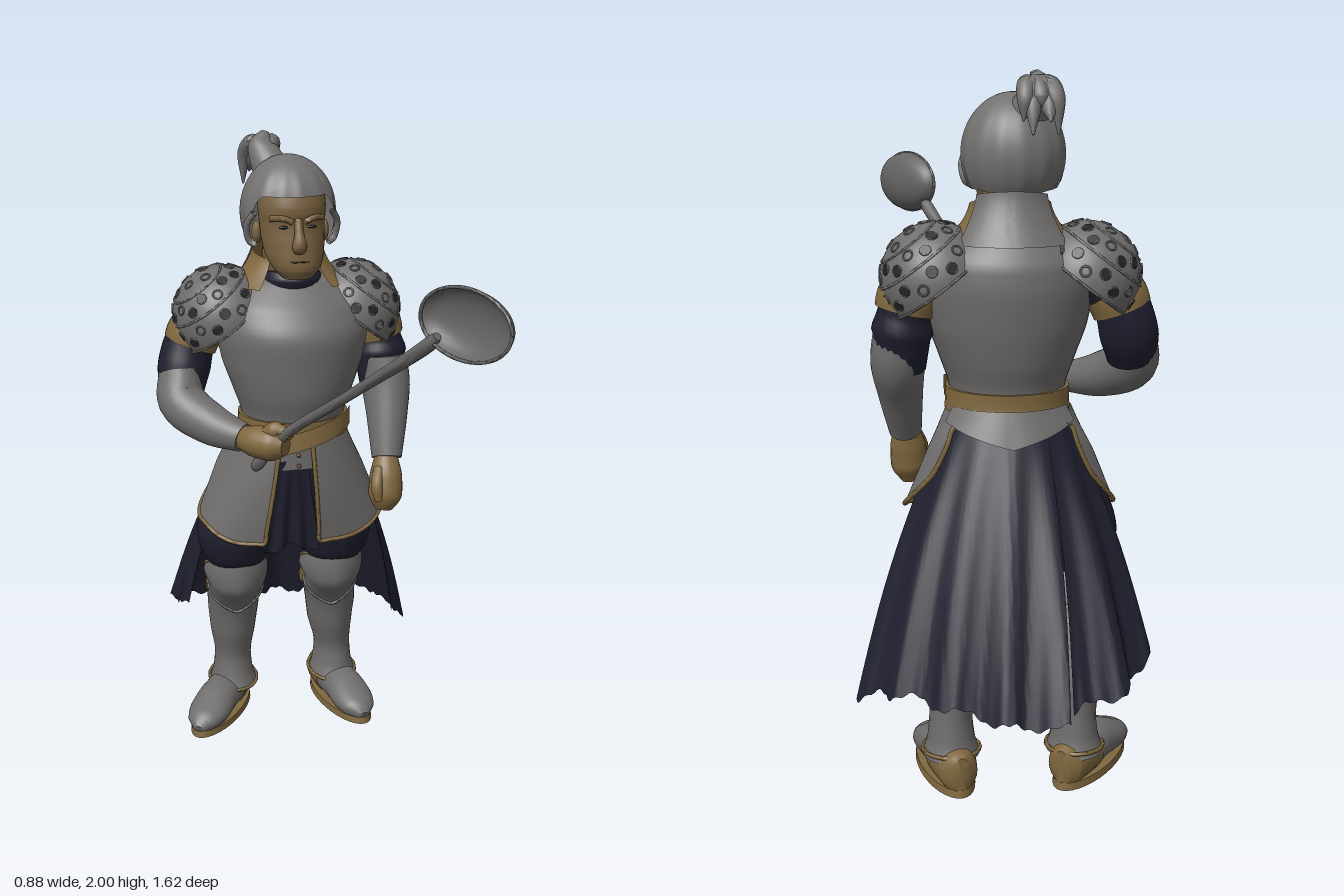
import * as THREE from 'three';
import { toCreasedNormals } from 'three/addons/utils/BufferGeometryUtils.js';

const V = (x, y, z) => new THREE.Vector3(x, y, z);
const mat = (name, color) => Object.assign(new THREE.MeshStandardMaterial({ color, side: THREE.DoubleSide }), { name });
const { sin, cos, abs, PI, min, max } = Math;
const smooth = THREE.MathUtils.smoothstep;

export function createModel() {
  const steel = mat('steel', 0x706e6d), leather = mat('leather', 0x80683f), skin = mat('skin', 0x786140);
  const cloth = mat('navy cloth', 0x1f1f2f), hair = mat('grey hair', 0x737170);
  const spoonMetal = mat('spoon metal', 0x666564), dark = mat('dark', 0x252429);
  const model = new THREE.Group();

  function add(name, geo, material, parent = model) {
    const m = new THREE.Mesh(toCreasedNormals(geo, 0.9), material);
    m.name = name;
    parent.add(m);
    return m;
  }

  // closed body through sections [x, y, z, rx, rz]; level keeps rings horizontal (list bottom to top)
  function sweep(secs, level = false, n = 24, steps = 5) {
    const path = new THREE.CatmullRomCurve3(secs.map(s => V(s[0], s[1], s[2])));
    const size = new THREE.CatmullRomCurve3(secs.map(s => V(s[3], s[4] ?? s[3], 0)));
    const rows = (secs.length - 1) * steps, pos = [], idx = [];
    const span = V(...secs.at(-1).slice(0, 3)).sub(V(...secs[0].slice(0, 3))).normalize();
    const ref = abs(span.z) > 0.8 ? V(0, 1, 0) : V(0, 0, 1);
    for (let i = 0; i <= rows; i++) {
      const c = path.getPoint(i / rows), r = size.getPoint(i / rows);
      const T = level ? V(0, 1, 0) : path.getTangent(i / rows);
      const u = level ? V(1, 0, 0) : ref.clone().cross(T).normalize();
      const v = T.clone().cross(u);
      for (let j = 0; j < n; j++) {
        const a = j / n * 2 * PI;
        pos.push(...c.clone().addScaledVector(u, r.x * cos(a)).addScaledVector(v, r.y * sin(a)).toArray());
      }
    }
    for (let i = 0; i < rows; i++) for (let j = 0; j < n; j++) {
      const a = i * n + j, b = i * n + (j + 1) % n;
      idx.push(a, b, a + n, b, b + n, a + n);
    }
    const k = pos.length / 3, last = rows * n;
    pos.push(...secs[0].slice(0, 3), ...secs.at(-1).slice(0, 3));
    for (let j = 0; j < n; j++) idx.push(k, (j + 1) % n, j, k + 1, last + j, last + (j + 1) % n);
    const g = new THREE.BufferGeometry();
    g.setAttribute('position', new THREE.Float32BufferAttribute(pos, 3));
    g.setIndex(idx);
    return g;
  }

  // open surface from a rule f(u, v) -> [x, y, z]
  function sheet(f, nu = 32, nv = 12) {
    const g = new THREE.PlaneGeometry(1, 1, nu, nv), p = g.attributes.position;
    for (let i = 0; i < p.count; i++) p.setXYZ(i, ...f(p.getX(i) + 0.5, 0.5 - p.getY(i)));
    g.deleteAttribute('uv');
    return g;
  }
  const tube = (pts, r, n = 40) => new THREE.TubeGeometry(new THREE.CatmullRomCurve3(pts.map(p => V(...p))), n, r, 8);
  const ball = (x, y, z, rx, ry, rz) => new THREE.SphereGeometry(1, 20, 14).scale(rx, ry, rz).translate(x, y, z);

  // torso, belts and hips
  add('breastplate', sweep([[-.005, 1.03, -.31, .163, .16], [-.005, 1.12, -.305, .165, .162], [-.005, 1.2, -.305, .19, .187],
    [-.005, 1.3, -.31, .225, .205], [-.005, 1.4, -.315, .243, .214], [-.005, 1.48, -.335, .235, .19],
    [-.005, 1.55, -.35, .165, .135], [-.005, 1.575, -.35, .1, .1]], true, 40), steel);
  add('belt', sweep([[-.005, 1.06, -.308, .179, .173], [-.005, 1.09, -.307, .177, .17], [-.005, 1.125, -.307, .176, .171]], true, 40), leather);
  add('slantedBelt', sheet((u, v) => {
    const a = (u - .5) * 2.6;
    return [-.005 + .185 * sin(a), 1.1 + .045 * sin(a) - .06 * v, -.307 + (.177 + .005 * v) * cos(a)];
  }, 32, 4), leather);
  add('frontFauld', sheet((u, v) => {
    const a = (u - 0.5) * 1.4;
    return [-.01 + (.178 + .02 * v) * sin(a), 1.07 - .1 * v, -.31 + (.171 - .004 * v) * cos(a)];
  }), steel);
  add('backFauld', sheet((u, v) => {
    const a = PI + (u - 0.5) * 2.2, drop = .04 + .06 * (1 - abs(u - 0.5) * 2);
    return [-.005 + (.178 + .025 * v) * sin(a), 1.08 - drop * v, -.31 + (.172 + .035 * v) * cos(a)];
  }), steel);
  add('hips', sweep([[-.02, .74, -.35, .2, .13], [-.015, .85, -.34, .215, .145], [-.01, .97, -.32, .18, .15], [-.005, 1.05, -.31, .16, .155]], true), cloth);
  for (let i = 0; i < 2; i++) add('fauldStud', ball(-.02, 1.02 - i * .035, -.138, .007, .007, .006), leather);

  // hip plates with leather edging
  for (const s of [-1, 1]) {
    const a0 = s > 0 ? .19 : .38, a1 = 2.35;
    const plate = (u, v) => {
      const a = a0 + (a1 - a0) * u, rise = max(0, (u - .52) / .48);
      const low = .72 + .05 * smooth(u, 0.1, .55) + .21 * (1 - Math.sqrt(1 - rise * rise));
      const y = 1.06 + (low - 1.06) * v, k = (1.06 - y) / .34;
      const rear = .03 * smooth(a, 1.4, 2.2) * smooth(v, 0, .5);
      return [-.01 + s * ((.18 + .14 * k) * sin(a) + rear), y, -.31 + (.175 - .015 * k + .012 * sin(PI * k)) * cos(a)];
    };
    add('hipPlate', sheet(plate, 44, 14), steel);
    const rim = [];
    for (let i = 0; i <= 8; i++) rim.push(plate(0, i / 8));
    for (let i = 1; i <= 24; i++) rim.push(plate(i / 24, 1));
    for (let i = 7; i >= 3; i--) rim.push(plate(1, i / 8));
    add('hipPlateEdge', tube(rim, .007, 90), leather);
  }

  // cloth: front flap and split pleated cape
  add('frontFlap', sheet((u, v) => [-.04 + (u - .5) * (.1 + .09 * v), 1.0 - (.31 + .015 * sin(u * 9)) * v,
    -.147 - .04 * v + .012 * cos(u * 19) * v], 30, 10), cloth);
  function capePanel(edge, b0, b1, pleats) {
    const hem = new THREE.CatmullRomCurve3(edge.map(p => V(...p)));
    add('capePanel', sheet((u, v) => {
      const h = hem.getPoint(u), b = b0 + (b1 - b0) * u;
      const x = -.005 + .168 * sin(b), z = -.31 - .16 * cos(b);
      const w = sin(u * pleats * 2 * PI + .8 * v) * .013 * v, bulge = .025 * sin(PI * v);
      const jag = (.012 * sin(u * pleats * 7 + 1) + .005 * sin(u * pleats * 23)) * v ** 4;
      return [x + (h.x - x) * v + (w + bulge) * sin(b), 1.05 + (h.y - 1.05) * v + jag, z + (h.z - z) * v - (w + bulge * .4) * cos(b)];
    }, 90, 16), cloth);
  }
  capePanel([[-.34, .43, -.38], [-.39, .41, -.52], [-.34, .36, -.62], [-.28, .34, -.71], [-.145, .3, -.74]], -1.75, -.6, 3);
  capePanel([[-.13, .29, -.8], [0, .28, -.78], [.12, .3, -.74], [.25, .32, -.68], [.35, .32, -.61], [.425, .27, -.5], [.35, .36, -.38]], -.62, 1.75, 5);

  // legs and boots
  for (const [kx, ax, fx, yaw] of [[.135, .17, .185, .2], [-.19, -.185, -.24, -.55]]) {
    add('trouserLeg', sweep([[kx, .58, -.36, .08, .09], [kx * 1.02, .63, -.35, .108, .128], [kx * 1.02, .72, -.34, .126, .145], [kx * .85, .86, -.33, .11, .13]], true), cloth);
    add('greave', sweep([[ax, .09, -.49, .082, .102], [ax, .135, -.49, .068, .088], [ax, .2, -.49, .062, .082], [(ax + ax + kx) / 3, .3, -.475, .076, .097],
      [(ax + kx) / 2, .4, -.45, .086, .1], [kx, .5, -.41, .09, .105], [kx, .58, -.37, .09, .115], [kx, .63, -.355, .075, .1]], true), steel);
    const knee = (u, v) => {
      const w = u * 2 - 1, a = w * 1.6, y0 = .64 - .05 * w * w, y1 = .41 + .1 * abs(w) ** 1.3, y = y0 + (y1 - y0) * v;
      const r = .85 + .15 * sin(PI * min(1, v + .2)), ridge = .022 * (1 - abs(w)) * (1 - v * .5);
      const back = .085 * (1 - smooth(y, .4, .53));
      return [kx + .107 * sin(a) * r, y, -.365 - back + (.115 * r + ridge) * cos(a)];
    };
    add('kneeGuard', sheet(knee, 30, 14), steel);
    for (const v of [0, 1]) add('kneeGuardEdge', tube(Array.from({ length: 13 }, (_, i) => knee(i / 12, v)), .006), v ? steel : leather);
    add('kneeStrap', sweep([[kx, .475, -.422, .094, .108], [kx, .5, -.41, .095, .109], [kx, .525, -.4, .094, .11]], true), leather);
    add('ankleEdge', tube(Array.from({ length: 13 }, (_, i) => [ax + .082 * cos(i * PI / 6), .1 - .01 * sin(i * PI / 6), -.49 + .102 * sin(i * PI / 6)]), .006), leather);
    const boot = new THREE.Group();
    boot.name = 'boot';
    boot.position.set(fx, 0, -.42);
    boot.rotation.y = yaw;
    model.add(boot);
    add('toeCap', sweep([[0, .068, -.08, .066, .062], [0, .068, .03, .068, .06], [0, .055, .1, .071, .049], [0, .042, .16, .056, .036], [0, .026, .197, .018, .018]]), steel, boot);
    add('heelCup', sweep([[0, .065, -.195, .025, .055], [0, .066, -.17, .052, .064], [0, .068, -.11, .063, .066], [0, .066, -.05, .068, .064]]), leather, boot);
    add('sole', new THREE.CylinderGeometry(1, 1.02, .022, 32).scale(.073, 1, .198).translate(0, .011, .002), leather, boot);
  }

  // arms
  const arms = [
    { upper: [[.23, 1.5, -.35, .085], [.28, 1.36, -.35, .08], [.292, 1.27, -.34, .08], [.295, 1.18, -.32, .07]], strap: [[.272, 1.395, -.35, .086], [.278, 1.37, -.35, .087], [.284, 1.345, -.35, .085]],
      fore: [[.302, 1.28, -.325, .072, .09], [.305, 1.2, -.31, .077, .094], [.298, 1.1, -.262, .066, .075], [.284, .97, -.205, .048, .054]],
      hand: [[.282, .98, -.205, .036], [.277, .92, -.185, .052], [.272, .86, -.172, .055], [.266, .81, -.17, .03]],
      thumb: [[.25, .95, -.17, .018], [.235, .9, -.14, .02], [.24, .85, -.13, .012]] },
    { upper: [[-.23, 1.5, -.35, .085], [-.32, 1.36, -.36, .08], [-.345, 1.28, -.35, .084], [-.36, 1.2, -.32, .07]], strap: [[-.295, 1.4, -.355, .086], [-.312, 1.375, -.358, .087], [-.324, 1.345, -.358, .085]],
      fore: [[-.362, 1.255, -.33, .068, .08], [-.365, 1.18, -.29, .075, .08], [-.29, 1.125, -.2, .066], [-.2, 1.1, -.11, .045]],
      hand: [[-.205, 1.1, -.115, .036], [-.165, 1.1, -.065, .05], [-.125, 1.1, -.03, .052], [-.09, 1.1, 0, .03]],
      thumb: [[-.15, 1.13, -.04, .02], [-.105, 1.15, -.01, .02], [-.08, 1.14, .03, .012]] }];
  for (const arm of arms) {
    add('sleeve', sweep(arm.upper), cloth);
    add('armStrap', sweep(arm.strap), leather);
    add('vambrace', sweep(arm.fore), steel);
    add('hand', sweep(arm.hand), leather);
    add('thumb', sweep(arm.thumb, false, 10), leather);
  }

  // layered shoulder guards flaring from collar to arm, with rivets, rings and dark openings
  for (const s of [-1, 1]) {
    const guard = new THREE.Group();
    guard.name = 'shoulderGuard';
    guard.position.set(s > 0 ? .195 : -.22, 1.435, -.35);
    guard.rotation.z = -s * .65;
    model.add(guard);
    const R = V(.148, .16, .158);
    const at = (th, ph, k) => V(sin(th) * cos(ph), cos(th), sin(th) * sin(ph)).multiply(R).multiplyScalar(k);
    [[0.01, .66, .98], [.58, 1.12, 1.01], [1.04, 1.66, 1.04]].forEach(([t0, t1, k], row) => {
      add('shoulderLame', sheet((u, v) => at(t0 + (t1 - t0) * v, u * 2 * PI, k + .03 * v).toArray(), 40, 8), steel, guard);
      add('shoulderLameEdge', tube(Array.from({ length: 25 }, (_, i) => at(t1, i / 12 * PI, k + .03).toArray()), .004, 60), steel, guard);
      const count = [6, 16, 20][row];
      for (let i = 0; i < count; i++) {
        const t = .45 + .25 * (i % 2), p = at(t0 + (t1 - t0) * t, (i + row * .4) / count * 2 * PI, k + .03 * t + .004);
        const q = new THREE.Quaternion().setFromUnitVectors(V(0, 0, 1), p.clone().divide(R).divide(R).normalize());
        if (row && i % 3) add('opening', new THREE.CylinderGeometry(.014, .014, .006, 12).rotateX(PI / 2).scale(1.2, .9, 1).applyQuaternion(q).translate(p.x, p.y, p.z), dark, guard);
        add('rivetRing', new THREE.TorusGeometry(.014, .003, 6, 14).applyQuaternion(q).translate(p.x, p.y, p.z), steel, guard);
      }
    });
  }

  // neck and collar: leather at the sides, steel behind
  add('neck', sweep([[-.01, 1.5, -.35, .09], [-.015, 1.6, -.315, .085], [-.02, 1.7, -.265, .08]], true), skin);
  add('neckCloth', sweep([[-.01, 1.53, -.32, .105, .115], [-.01, 1.565, -.3, .095, .105], [-.01, 1.585, -.3, .085, .09]], true), cloth);
  const collar = (from, to, grow, lift) => sheet((u, v) => {
    const a = PI + from + (to - from) * u, back = .5 - .5 * cos(a), r = .103 + grow + .06 * (1 - v) ** 1.5;
    return [-.01 + r * 1.1 * sin(a), 1.535 + (.08 + .05 * back + lift) * v, -.34 + r * cos(a)];
  });
  add('collar', collar(-2.45, 2.45, 0, 0), leather);
  add('collarBack', collar(-.95, .95, .006, .015), steel);

  // head
  add('face', sweep([[-.015, 1.58, -.175, .045, .042], [-.015, 1.61, -.185, .073, .068], [-.018, 1.65, -.205, .09, .086], [-.02, 1.7, -.218, .098, .093],
    [-.022, 1.745, -.222, .1, .092], [-.022, 1.79, -.222, .104, .1], [-.022, 1.86, -.24, .1, .1]], true, 28), skin);
  add('nose', sweep([[-.02, 1.765, -.135, .012, .014], [-.02, 1.72, -.122, .015, .017], [-.02, 1.685, -.115, .023, .019], [-.02, 1.665, -.124, .016, .01]], false, 14), skin);
  add('mouth', ball(-.018, 1.637, -.122, .03, .003, .005), dark);
  for (const s of [-1, 1]) {
    add('eye', ball(-.021 + s * .042, 1.74, -.138, .016, .005, .005), dark);
    add('brow', tube([[-.021 + s * .018, 1.757, -.122], [-.021 + s * .045, 1.768, -.126], [-.021 + s * .08, 1.765, -.155]], .009, 12), skin);
    add('ear', ball(-.021 + s * .105, 1.71, -.25, .015, .035, .022), skin);
    add('sideCurl', tube([[-.025 + s * .12, 1.78, -.18], [-.025 + s * .14, 1.74, -.2], [-.025 + s * .13, 1.69, -.21], [-.025 + s * .112, 1.68, -.2]], .01, 20), hair);
  }
  add('hair', sheet((u, v) => {
    const a = u * 2 * PI, off = abs(a > PI ? a - 2 * PI : a);
    const th = .01 + (1.2 + .95 * smooth(off, .75, 1.5) + .1 * smooth(off, 2, 3)) * v, k = 1 + .014 * sin(a * 14) * v;
    return [-.025 + .146 * k * sin(th) * sin(a), 1.77 + .17 * cos(th), -.265 + .15 * k * sin(th) * cos(a)];
  }, 84, 20), hair);

  // topknot with loose strands
  add('topknot', sweep([[-.055, 1.87, -.32, .06], [-.075, 1.915, -.345, .052], [-.085, 1.955, -.365, .042, .038], [-.072, 1.995, -.375, .012, .01]]), hair);
  for (let i = 0; i < 5; i++) {
    const d = (i - 2) * .014;
    add('topknotStrand', sweep([[-.075, 1.93, -.35, .024], [-.08 + d, 1.96, -.385, .028], [-.085 + d * 1.5, 1.925 - (i % 2) * .02, -.425, .024], [-.085 + d * 1.7, 1.83 + (i % 3) * .035, -.435 - (i % 2) * .025, .003]], false, 10), hair);
  }

  // long spoon: shaft and an oval bowl facing forward and inward
  add('spoonShaft', sweep([[-.172, 1.01, -.07, .012], [-.165, 1.03, -.06, .02], [-.1, 1.13, 0, .016], [.04, 1.33, .27, .015], [.185, 1.54, .55, .02], [.2, 1.57, .58, .012]], false, 14, 8), spoonMetal);
  const along = V(.5, 0, .866), out = V(.866, 0, -.5), mid = V(.245, 1.62, .67);
  const bowl = (r, depth) => sheet((u, v) => {
    const a = u * 2 * PI;
    return mid.clone().addScaledVector(along, .16 * v * r * cos(a)).addScaledVector(V(0, 1, 0), .098 * v * r * sin(a))
      .addScaledVector(out, depth * Math.sqrt(max(0, 1 - v * v))).toArray();
  }, 40, 14);
  add('spoonBowlOuter', bowl(1, .062), spoonMetal);
  add('spoonBowlInner', bowl(.97, .052), spoonMetal);
  add('spoonRim', tube(Array.from({ length: 33 }, (_, i) => mid.clone().addScaledVector(along, .158 * cos(i * PI / 16))
    .addScaledVector(V(0, 1, 0), .096 * sin(i * PI / 16)).toArray()), .005, 64), spoonMetal);
  return model;
}
